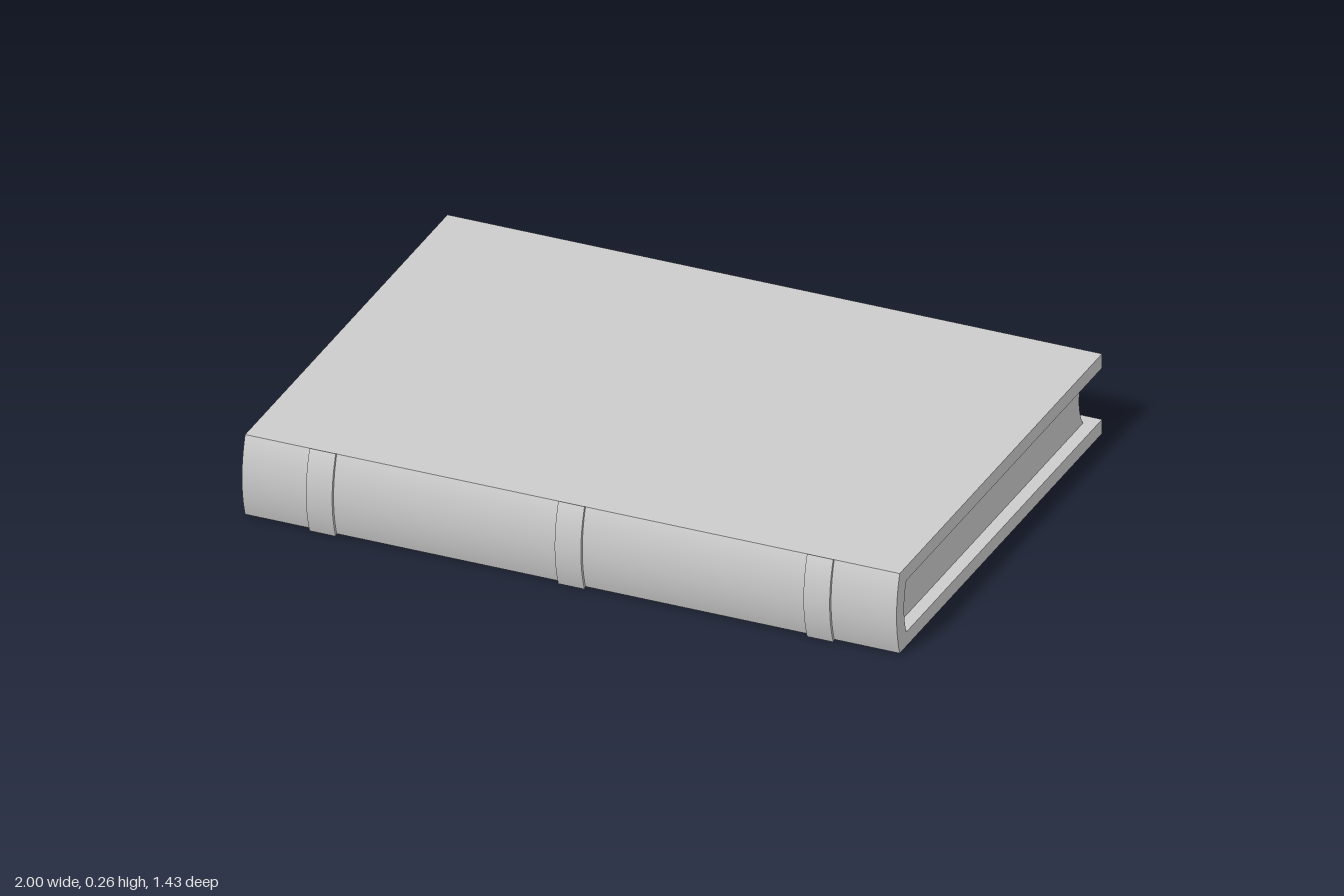
import * as THREE from 'three';
import { toCreasedNormals } from 'three/addons/utils/BufferGeometryUtils.js';

const material = new THREE.MeshStandardMaterial({ color: 0xcccccc });

// Points [z, y] of a shallow circular arc from y0 to y1, bulging by sag towards +z
function arc(z, y0, y1, sag, steps = 24) {
  const half = Math.abs(y1 - y0) / 2;
  const mid = (y0 + y1) / 2;
  const radius = (half * half + sag * sag) / (2 * sag);
  const points = [];
  for (let i = 0; i <= steps; i++) {
    const y = y0 + ((y1 - y0) * i) / steps;
    points.push([z + sag - radius + Math.sqrt(radius * radius - (y - mid) ** 2), y]);
  }
  return points;
}

// Extrude a [z, y] cross-section along x, centred on x
function sweep(name, profile, width, x = 0) {
  const shape = new THREE.Shape(profile.map(([z, y]) => new THREE.Vector2(-z, y)));
  const geometry = new THREE.ExtrudeGeometry(shape, { depth: width, bevelEnabled: false });
  geometry.translate(0, 0, -width / 2).rotateY(Math.PI / 2);
  const mesh = new THREE.Mesh(toCreasedNormals(geometry, 0.5), material);
  mesh.name = name;
  mesh.position.x = x;
  return mesh;
}

export function createModel() {
  const book = new THREE.Group();
  book.name = 'book';

  // Cover: two boards joined by a rounded spine
  const bottom = 0.005, top = 0.259, innerBottom = 0.05, innerTop = 0.214, back = -0.715;
  book.add(sweep('cover', [
    [back, bottom], ...arc(0.683, bottom, top, 0.022), [back, top],
    [back, innerTop], ...arc(0.637, innerTop, innerBottom, 0.016), [back, innerBottom],
  ], 2));

  // Page block: recessed at both ends, hollowed along the fore edge
  book.add(sweep('pages', [
    ...arc(0.637, innerBottom, innerTop, 0.016),
    ...arc(-0.673, innerTop, innerBottom, 0.026),
  ], 1.92));

  // Raised bands across the spine
  for (const x of [-0.76, 0, 0.76]) {
    book.add(sweep('spineBand', [
      ...arc(0.69, 0, 0.263, 0.025), ...arc(0.681, top, bottom, 0.022),
    ], 0.08, x));
  }
  return book;
}
